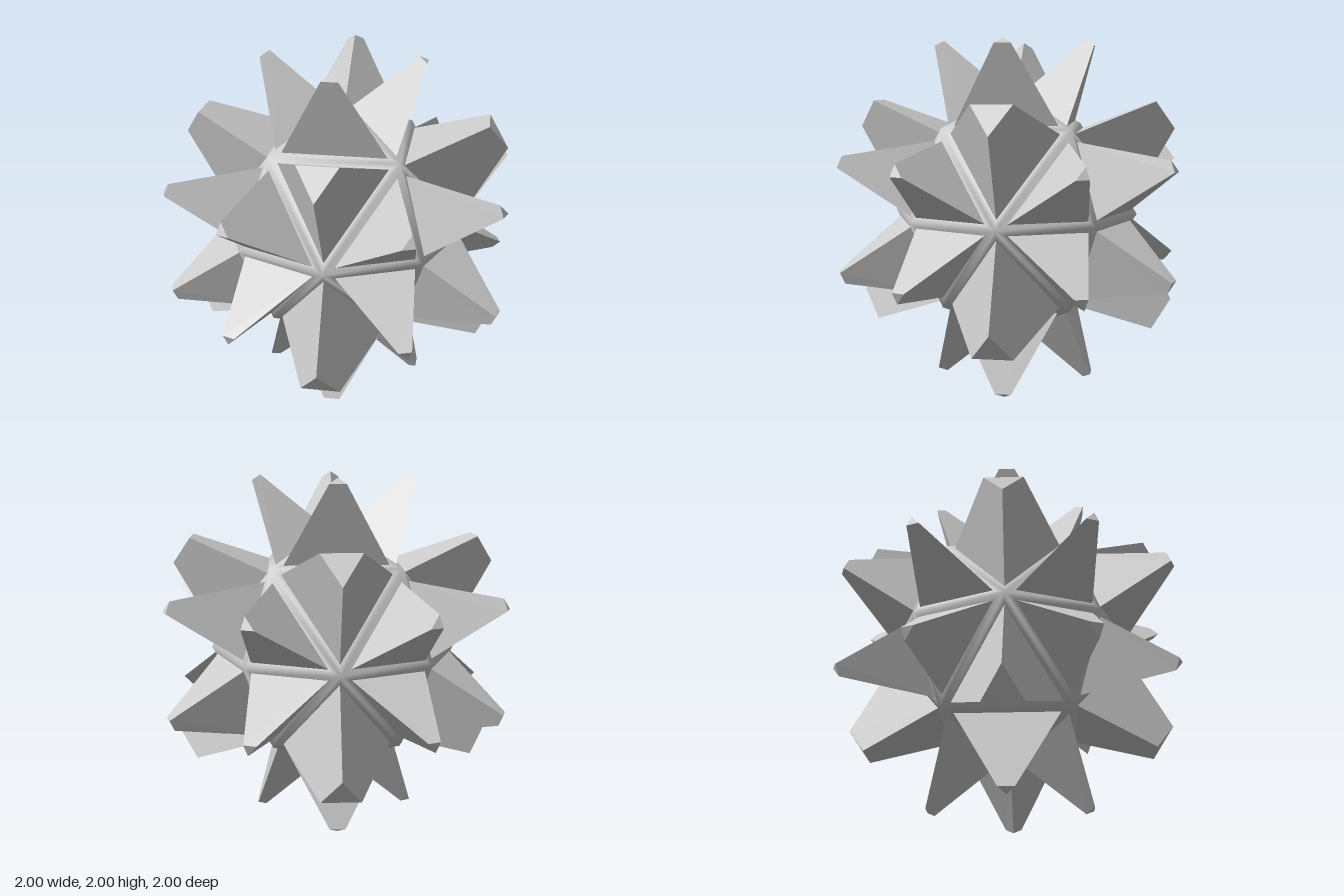
import * as THREE from 'three';
import { mergeVertices } from 'three/addons/utils/BufferGeometryUtils.js';

const R = 0.72;               // radius of the frame nodes
const M = R * Math.SQRT1_2;   // coordinate of the nodes between two axes

// One panel next to an axis node, and the panel in the middle of an octant.
// Each has the frame triangle, the inset spike base and the blunt spike tip.
const axisPanel = {
  frame: [[R, 0, 0], [M, M, 0], [M, 0, M]],
  base: [[0.695, 0.03, 0.03], [0.525, 0.44, 0.03], [0.525, 0.03, 0.44]],
  tip: [[1, 0.295, 0.295], [0.97, 0.36, 0.295], [0.97, 0.295, 0.36]],
};
const middlePanel = {
  frame: [[M, M, 0], [0, M, M], [M, 0, M]],
  base: [[0.482, 0.482, 0.054], [0.054, 0.482, 0.482], [0.482, 0.054, 0.482]],
  tip: [[0.655, 0.655, 0.5], [0.5, 0.655, 0.655], [0.655, 0.5, 0.655]],
};

// Quads joining two triangular rings
function band(lower, upper) {
  const out = [];
  for (let i = 0; i < 3; i++) {
    const j = (i + 1) % 3;
    out.push(lower[i], lower[j], upper[j], lower[i], upper[j], upper[i]);
  }
  return out;
}

function toGeometry(points) {
  const g = new THREE.BufferGeometry();
  g.setAttribute('position', new THREE.Float32BufferAttribute(points.flat(), 3));
  return g;
}

export function createModel() {
  const model = new THREE.Group();
  model.name = 'spikedBall';
  const spikeMaterial = new THREE.MeshStandardMaterial({ color: 0xcccccc, flatShading: true });
  const frameMaterial = new THREE.MeshStandardMaterial({ color: 0xcccccc });
  const framePoints = [];

  // Mirror a panel into an octant after turning it about the diagonal
  function addPanel(panel, turn, signs, name) {
    const place = (p) => signs.map((s, k) => s * p[(k + 3 - turn) % 3]);
    const flip = signs[0] * signs[1] * signs[2] < 0;
    const ring = (pts) => {
      const r = pts.map(place);
      return flip ? r.reverse() : r;
    };
    const base = ring(panel.base);
    const tip = ring(panel.tip);
    framePoints.push(...band(ring(panel.frame), base));

    const geometry = toGeometry([...band(base, tip), ...tip]);
    geometry.computeVertexNormals();
    const spike = new THREE.Mesh(geometry, spikeMaterial);
    spike.name = name;
    model.add(spike);
  }

  for (const x of [1, -1]) for (const y of [1, -1]) for (const z of [1, -1]) {
    addPanel(middlePanel, 0, [x, y, z], 'middleSpike');
    for (let turn = 0; turn < 3; turn++) addPanel(axisPanel, turn, [x, y, z], 'axisSpike');
  }

  // Frame bars around the spike bases, smooth across their ridges
  const frameGeometry = mergeVertices(toGeometry(framePoints), 1e-4);
  frameGeometry.computeVertexNormals();
  const frame = new THREE.Mesh(frameGeometry, frameMaterial);
  frame.name = 'frame';
  model.add(frame);

  model.position.y = 1;
  const root = new THREE.Group();
  root.name = 'model';
  root.add(model);
  return root;
}
